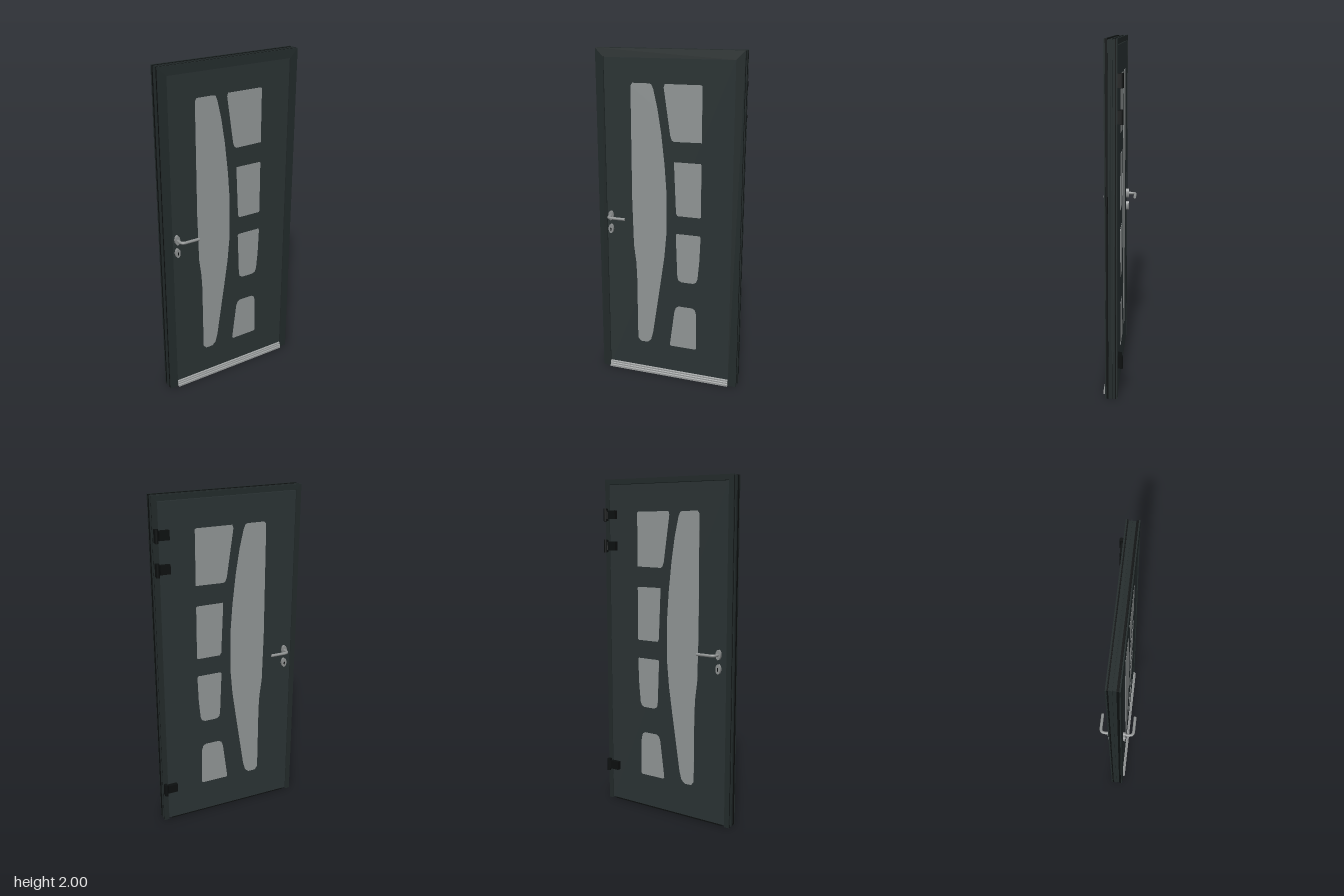
import * as THREE from 'three';

const mat = (name, color, side = THREE.FrontSide) => {
  const m = new THREE.MeshStandardMaterial({ color, side });
  m.name = name;
  return m;
};

export function createModel() {
  const model = new THREE.Group();
  const anthracite = mat('anthracite panel', 0x2a3233);
  const frameDark = mat('frame anthracite', 0x222a2a, THREE.DoubleSide);
  const glassGrey = mat('frosted glass', 0x8f9494);
  const steel = mat('brushed steel', 0x8c8f8f);
  const aluminium = mat('aluminium', 0x969999);
  const black = mat('black', 0x0c0f0f);

  const add = (name, geo, material, x = 0, y = 0, z = 0, parent = model) => {
    const mesh = new THREE.Mesh(geo, material);
    mesh.name = name;
    mesh.position.set(x, y, z);
    parent.add(mesh);
    return mesh;
  };
  // box given by its minimum and maximum corners
  const box = (name, material, x0, x1, y0, y1, z0, z1, parent) =>
    add(name, new THREE.BoxGeometry(x1 - x0, y1 - y0, z1 - z0), material,
      (x0 + x1) / 2, (y0 + y1) / 2, (z0 + z1) / 2, parent);

  // Frame: a closed profile of [inset, z] swept up, across and down with mitred corners
  const profile = [
    [0, 0.033], [0.05, 0.037], [0.05, 0], [0.03, 0], [0.03, -0.038], [0, -0.038],
    [0, -0.031], [0.005, -0.031], [0.005, -0.011], [0, -0.011], [0, -0.005],
    [0.005, -0.005], [0.005, 0.027], [0, 0.027],
  ];
  const ring = ([d, z]) => [
    [-0.44 + d, 0, z], [-0.44 + d, 2 - d, z], [0.44 - d, 2 - d, z], [0.44 - d, 0, z],
  ];
  const pos = [];
  profile.forEach((p, i) => {
    const a = ring(p), b = ring(profile[(i + 1) % profile.length]);
    for (let j = 0; j < 3; j++) {
      pos.push(...a[j], ...b[j], ...b[j + 1], ...a[j], ...b[j + 1], ...a[j + 1]);
    }
  });
  const caps = THREE.ShapeUtils.triangulateShape(profile.map(p => new THREE.Vector2(...p)), []);
  for (const end of [0, 3]) {
    for (const tri of caps) for (const k of tri) pos.push(...ring(profile[k])[end]);
  }
  const frameGeo = new THREE.BufferGeometry();
  frameGeo.setAttribute('position', new THREE.Float32BufferAttribute(pos, 3));
  frameGeo.computeVertexNormals();
  add('frame', frameGeo, frameDark);

  // Dark seals lying in the outer grooves
  for (const [z0, z1] of [[-0.03, -0.024], [0.014, 0.026]]) {
    for (const s of [-1, 1]) box('sideSeal', black, s * 0.4365 - 0.002, s * 0.4365 + 0.002, 0, 1.998, z0, z1);
    box('topSeal', black, -0.436, 0.436, 1.994, 1.9985, z0, z1);
  }

  // Door leaf with a wider rebated back
  box('leafFront', anthracite, -0.389, 0.389, 0.012, 1.949, 0, 0.031);
  box('leafBack', anthracite, -0.408, 0.408, 0.01, 1.967, -0.036, 0);

  // Glass panes visible on both faces
  const panes = [
    [[-0.214, 1.81], [-0.114, 1.81], [-0.098, 1.805], [-0.087, 1.78], [-0.062, 1.67], [-0.04, 1.53],
      [-0.02, 1.35], [-0.008, 1.18], [-0.008, 0.945], [-0.022, 0.79], [-0.045, 0.63], [-0.098, 0.28],
      [-0.112, 0.228], [-0.135, 0.208], [-0.18, 0.208], [-0.198, 0.23], [-0.2, 0.65], [-0.205, 0.74],
      [-0.218, 0.84], [-0.225, 1.13], [-0.225, 1.795]],
    [[-0.018, 1.81], [0.196, 1.81], [0.203, 1.803], [0.203, 1.49], [0.036, 1.487], [0.024, 1.495],
      [0.015, 1.52], [-0.024, 1.79]],
    [[0.04, 1.37], [0.198, 1.37], [0.203, 1.365], [0.203, 1.055], [0.198, 1.05], [0.06, 1.05],
      [0.051, 1.065], [0.038, 1.36]],
    [[0.055, 0.94], [0.198, 0.94], [0.203, 0.93], [0.197, 0.78], [0.187, 0.67], [0.178, 0.647],
      [0.16, 0.638], [0.085, 0.638], [0.065, 0.65], [0.06, 0.68], [0.05, 0.93]],
    [[0.07, 0.478], [0.155, 0.478], [0.172, 0.468], [0.181, 0.44], [0.184, 0.215], [0.178, 0.207],
      [0.02, 0.207], [0.013, 0.215], [0.042, 0.44], [0.052, 0.468]],
  ];
  for (const pts of panes) {
    const shape = new THREE.Shape(pts.map(p => new THREE.Vector2(...p)));
    add('glassPane', new THREE.ExtrudeGeometry(shape, { depth: 0.0695, bevelEnabled: false }),
      glassGrey, 0, 0, -0.0373);
  }

  // Stepped sill along the bottom, profile in (z, y)
  const sill = new THREE.Shape([
    [0.02, 0], [0.048, 0], [0.048, 0.012], [0.043, 0.016], [0.043, 0.024], [0.039, 0.028],
    [0.039, 0.036], [0.033, 0.04], [0.02, 0.04],
  ].map(p => new THREE.Vector2(...p)));
  const sillGeo = new THREE.ExtrudeGeometry(sill, { depth: 0.776, bevelEnabled: false });
  sillGeo.rotateY(-Math.PI / 2);
  add('sill', sillGeo, aluminium, 0.388, 0, 0);
  box('sillBase', black, -0.389, 0.389, 0.001, 0.01, -0.034, 0.02);

  // Handle sets, one per face
  const oval = (w, h, depth) => {
    const g = new THREE.CylinderGeometry(1, 1, depth, 24);
    g.rotateX(Math.PI / 2);
    g.scale(w / 2, h / 2, 1);
    return g;
  };
  for (const s of [1, -1]) {
    const handle = new THREE.Group();
    handle.name = s > 0 ? 'frontHandle' : 'backHandle';
    model.add(handle);
    const x = -0.362, y = 1.015, face = s > 0 ? 0.031 : 0.036, reach = s > 0 ? 0.093 : 0.096;
    add('rose', oval(0.03, 0.058, 0.018), steel, x, y, s * (face + 0.008), handle);
    add('escutcheon', oval(0.03, 0.056, 0.018), steel, x, 0.933, s * (face + 0.008), handle);
    add('keyhole', oval(0.007, 0.022, 0.002), black, x, 0.931, s * (face + 0.0175), handle);
    const path = new THREE.CurvePath();
    const v = (px, pz) => new THREE.Vector3(px, y, s * pz);
    path.add(new THREE.LineCurve3(v(x, face), v(x, reach - 0.025)));
    path.add(new THREE.QuadraticBezierCurve3(v(x, reach - 0.025), v(x, reach), v(x + 0.025, reach)));
    path.add(new THREE.LineCurve3(v(x + 0.025, reach), v(-0.25, reach)));
    add('lever', new THREE.TubeGeometry(path, 40, 0.0085, 12, false), steel, 0, 0, 0, handle);
    const tip = new THREE.CylinderGeometry(0.0085, 0.0085, 0.002, 12);
    tip.rotateZ(Math.PI / 2);
    add('leverTip', tip, steel, -0.251, y, s * reach, handle);
  }

  // Hinges on the back
  for (const y of [1.793, 1.608, 0.228]) {
    const hinge = new THREE.Group();
    hinge.name = 'hinge';
    hinge.position.y = y;
    model.add(hinge);
    box('hingePlate', black, 0.353, 0.41, -0.026, 0.026, -0.059, -0.035, hinge);
    add('hingePin', new THREE.CylinderGeometry(0.0105, 0.0105, 0.076, 16), black, 0.426, 0, -0.058, hinge);
    const arm = add('hingeArm', new THREE.BoxGeometry(0.026, 0.05, 0.01), black, 0.414, 0, -0.052, hinge);
    arm.rotation.y = 0.6;
    box('frameLug', black, 0.42, 0.436, -0.036, 0.036, -0.056, -0.036, hinge);
  }
  return model;
}
